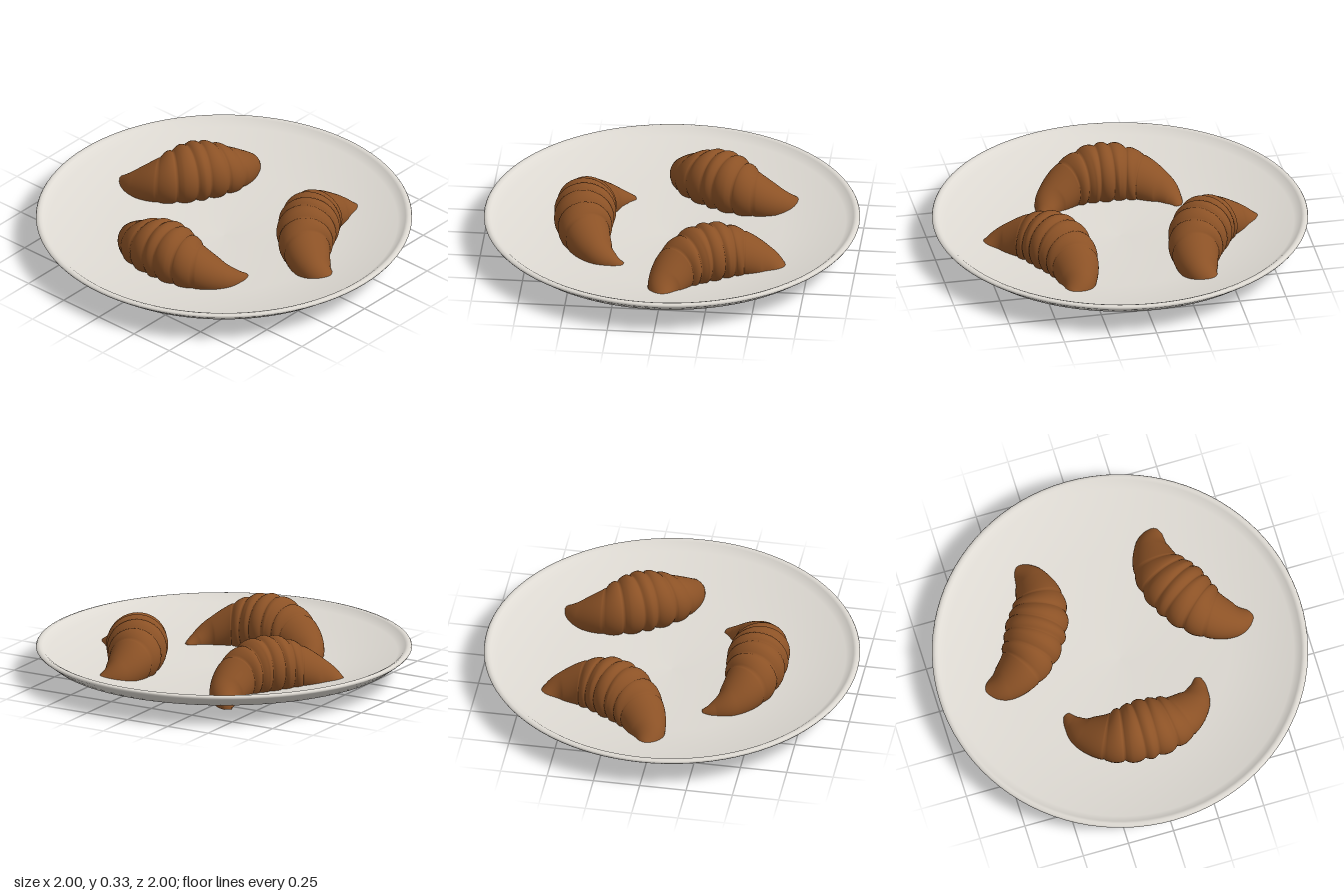
import * as THREE from 'three';

const BASE = 0.035; // height of the flat underside of the pastry

// Half of the pastry spine: x, y, z, radius (middle to tip)
const HALF = [
  [0, 0.165, 0, 0.165],
  [0.09, 0.158, -0.003, 0.158],
  [0.2, 0.128, -0.03, 0.133],
  [0.3, 0.082, -0.1, 0.093],
  [0.347, 0.053, -0.175, 0.052],
  [0.365, 0.04, -0.235, 0.022],
];

// Rolled dough layers: the radius dips at each seam
const SEAMS = [-0.035, 0.035, 0.125, 0.2, 0.5];
const DEPTHS = [0.1, 0.12, 0.08, 0.05];
function layerScale(x) {
  const a = Math.abs(x);
  const i = DEPTHS.findIndex((_, k) => a <= SEAMS[k + 1]);
  const u = (a - SEAMS[i]) / (SEAMS[i + 1] - SEAMS[i]);
  return 1 - DEPTHS[i] * (1 - Math.pow(Math.max(0, Math.sin(Math.PI * u)), 0.7));
}

function croissantGeometry(rings = 160, sides = 40) {
  const mirrored = HALF.slice(1).reverse().map(([x, y, z, r]) => [-x, y, z, r]);
  const stations = [...mirrored, ...HALF];
  const spine = new THREE.CatmullRomCurve3(stations.map(([x, y, z]) => new THREE.Vector3(x, y, z)), false, 'catmullrom');
  const radii = new THREE.CatmullRomCurve3(stations.map((s) => new THREE.Vector3(s[3], 0, 0)), false, 'catmullrom');
  const pos = [];
  const index = [];
  for (let i = 0; i <= rings; i++) {
    const t = i / rings;
    const c = spine.getPoint(t);
    const tan = spine.getTangent(t).setY(0).normalize();
    const r = radii.getPoint(t).x * layerScale(c.x);
    for (let j = 0; j < sides; j++) {
      const a = (j / sides) * Math.PI * 2;
      const out = Math.cos(a) * r;
      // Sideways direction is the spine tangent turned a quarter about y
      pos.push(c.x - tan.z * out, Math.max(BASE, c.y + Math.sin(a) * r), c.z + tan.x * out);
      if (i < rings) {
        const p = i * sides + j, q = i * sides + ((j + 1) % sides);
        index.push(p, p + sides, q, q, p + sides, q + sides);
      }
    }
  }
  // Closed, rounded tips
  for (const end of [0, rings]) {
    const t = end / rings;
    const tip = spine.getPoint(t).addScaledVector(spine.getTangent(t), end === 0 ? -0.01 : 0.01);
    const centre = pos.length / 3;
    pos.push(tip.x, Math.max(BASE, tip.y), tip.z);
    for (let j = 0; j < sides; j++) {
      const p = end * sides + j, q = end * sides + ((j + 1) % sides);
      if (end === 0) index.push(centre, p, q);
      else index.push(centre, q, p);
    }
  }
  const geo = new THREE.BufferGeometry();
  geo.setAttribute('position', new THREE.Float32BufferAttribute(pos, 3));
  geo.setIndex(index);
  geo.computeVertexNormals();
  return geo;
}

export function createModel() {
  const model = new THREE.Group();
  const ceramic = new THREE.MeshStandardMaterial({ color: 0xdedad3 });
  ceramic.name = 'offWhiteCeramic';
  const crust = new THREE.MeshStandardMaterial({ color: 0x8c5226 });
  crust.name = 'bakedCrust';

  // Plate: underside, foot, rim and dished top in one smooth profile
  const profile = [
    [0, 0], [0.54, 0], [0.6, 0.045], [0.925, 0.098], [0.995, 0.15], [1, 0.158],
    [0.995, 0.166], [0.98, 0.17], [0.965, 0.164], [0.925, 0.131], [0.58, 0.06], [0, 0.04],
  ].map(([x, y]) => new THREE.Vector2(x, y));
  const plate = new THREE.Mesh(new THREE.LatheGeometry(profile, 96), ceramic);
  plate.name = 'plate';
  model.add(plate);

  // Three croissants: one in front, two behind turned inward
  const geo = croissantGeometry();
  const spots = [
    ['frontCroissant', 0, 0.463, 0],
    ['backRightCroissant', -0.4, -0.23, Math.PI / 3],
    ['backLeftCroissant', 0.4, -0.23, -Math.PI / 3],
  ];
  for (const [name, x, z, turn] of spots) {
    const croissant = new THREE.Mesh(geo, crust);
    croissant.name = name;
    croissant.position.set(x, 0, z);
    croissant.rotation.y = turn;
    model.add(croissant);
  }
  return model;
}
